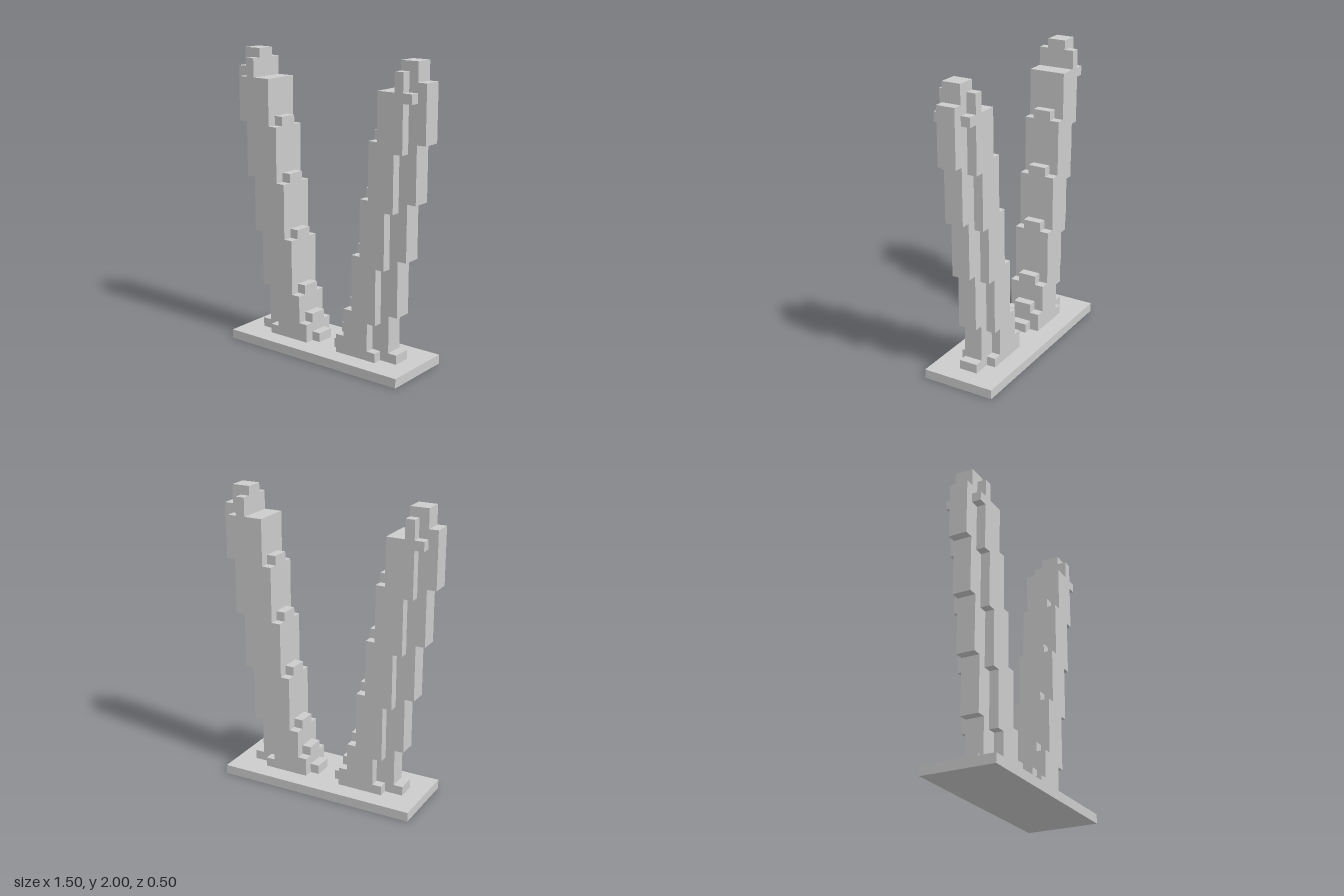
import * as THREE from 'three';

const U = 1 / 16; // one block
const material = new THREE.MeshStandardMaterial({ color: 0xcccccc, flatShading: true });

// Stepped edges as [x, top y] in blocks, from the base upward.
const CORE = {
  inner: [[1, 2], [2, 4], [3, 7], [4, 13], [5, 19], [6, 25], [7, 29], [9, 32]],
  outer: [[9, 2], [8, 6], [9, 12], [10, 18], [11, 24], [12, 30], [11, 32]],
};
const FLANK = {
  inner: [[2, 3], [3, 6], [4, 12], [5, 18], [6, 24], [7, 29], [9, 31]],
  outer: [[7, 2], [6, 5], [7, 11], [8, 17], [9, 23], [10, 28], [11, 29], [10, 31]],
};

// Turns a list of steps into the corner points of a staircase.
function staircase(steps, side) {
  let y = 1;
  return steps.flatMap(([x, top]) => {
    const run = [new THREE.Vector2(side * x * U, y * U), new THREE.Vector2(side * x * U, top * U)];
    y = top;
    return run;
  });
}

// Extrudes a stepped profile between two depths.
function slab(name, profile, side, z0, z1) {
  const points = [...staircase(profile.outer, side), ...staircase(profile.inner, side).reverse()];
  const geometry = new THREE.ExtrudeGeometry(new THREE.Shape(points), {
    depth: (z1 - z0) * U,
    bevelEnabled: false,
  });
  geometry.translate(0, 0, z0 * U);
  const mesh = new THREE.Mesh(geometry, material);
  mesh.name = name;
  return mesh;
}

export function createModel() {
  const model = new THREE.Group();
  model.name = 'leaningPillars';

  // Flat base plate
  const base = new THREE.Mesh(new THREE.BoxGeometry(22 * U, U, 8 * U), material);
  base.position.y = U / 2;
  base.name = 'base';
  model.add(base);

  // Two mirrored pillars: a central core with a thinner flank front and back
  for (const [name, side] of [['leftPillar', 1], ['rightPillar', -1]]) {
    const pillar = new THREE.Group();
    pillar.name = name;
    pillar.add(
      slab('core', CORE, side, -1, 1),
      slab('frontFlank', FLANK, side, 1, 2),
      slab('backFlank', FLANK, side, -2, -1),
    );
    model.add(pillar);
  }
  return model;
}
